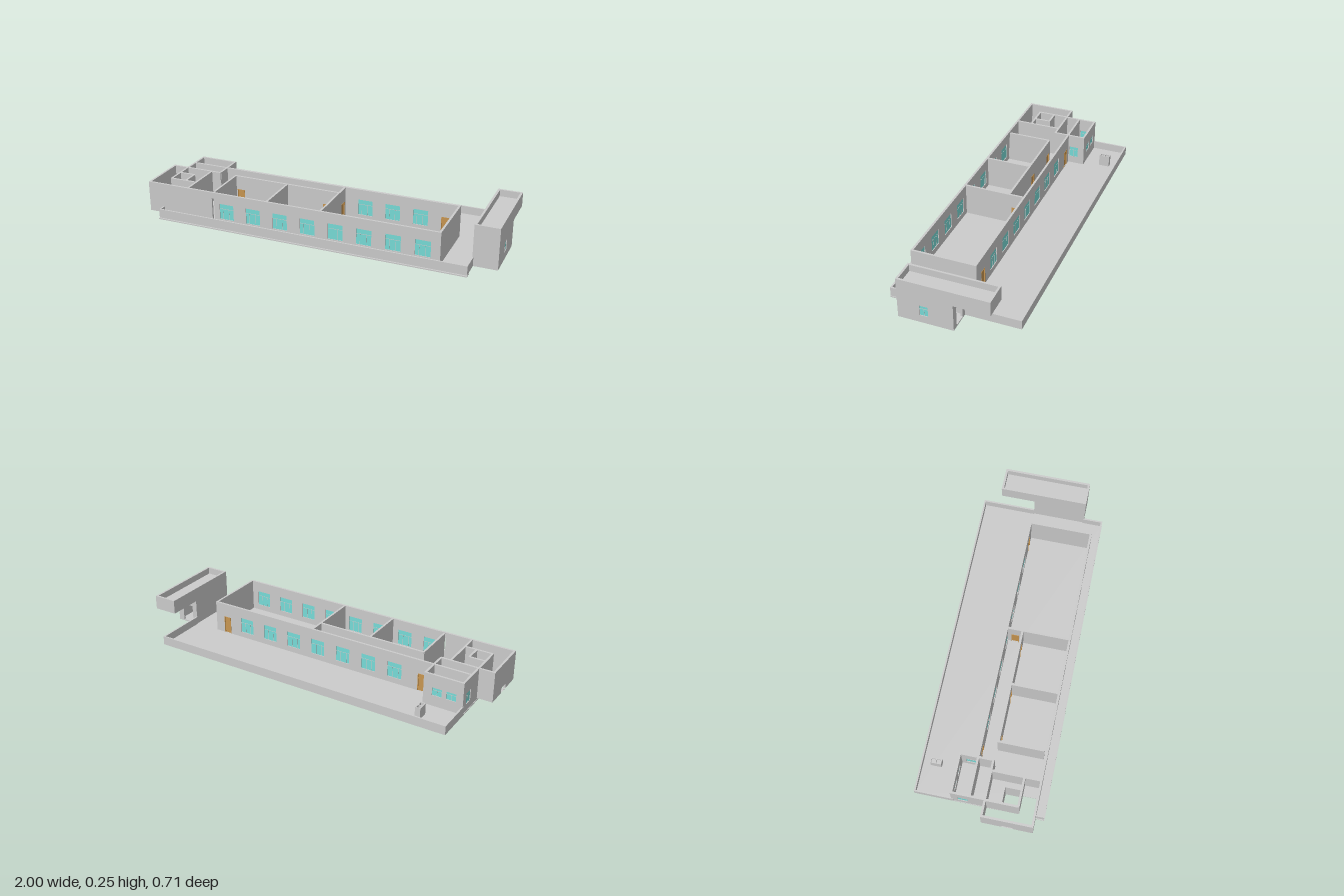
import * as THREE from 'three';

const grey = new THREE.MeshStandardMaterial({ color: 0xcccccc });
const teal = new THREE.MeshStandardMaterial({ color: 0x78dcd8 });
const wood = new THREE.MeshStandardMaterial({ color: 0xc89650 });
const T = 0.012; // wall thickness
const DECK = 0.017;
const TOP = 0.205;

// Box given by its min and max corners
function block(parent, name, x0, x1, y0, y1, z0, z1, material = grey) {
  const mesh = new THREE.Mesh(new THREE.BoxGeometry(x1 - x0, y1 - y0, z1 - z0), material);
  mesh.position.set((x0 + x1) / 2, (y0 + y1) / 2, (z0 + z1) / 2);
  mesh.name = name;
  parent.add(mesh);
  return mesh;
}

function rectangle(target, x0, x1, y0, y1) {
  target.moveTo(x0, y0);
  target.lineTo(x1, y0);
  target.lineTo(x1, y1);
  target.lineTo(x0, y1);
  target.closePath();
  return target;
}

// Wall running along x or z from a to b; openings are { c, w, y0, y1, kind }
function wall(parent, name, axis, a, b, at, y0 = DECK, y1 = TOP, openings = []) {
  const g = new THREE.Group();
  g.name = name;
  const shape = rectangle(new THREE.Shape(), a, b, y0, y1);
  for (const o of openings) {
    const l = o.c - o.w / 2, r = o.c + o.w / 2;
    shape.holes.push(rectangle(new THREE.Path(), l, r, o.y0, o.y1));
    if (o.kind === 'window') {
      block(g, 'windowGlass', l, r, o.y0, o.y1, -0.002, 0.002, teal);
      const split = o.y0 + (o.y1 - o.y0) * 0.68;
      block(g, 'windowTransom', l, r, split - 0.001, split + 0.001, -0.003, 0.003);
      for (const f of o.w > 0.07 ? [0.25, 0.65] : [0.5]) {
        const x = l + o.w * f;
        block(g, 'windowMullion', x - 0.001, x + 0.001, o.y0, split, -0.003, 0.003);
      }
    } else if (o.kind === 'door') {
      block(g, 'doorLeaf', l, r, o.y0, o.y1, -0.003, 0.003, wood);
      for (const x of [l, r - 0.004]) block(g, 'doorJamb', x, x + 0.004, o.y0, o.y1, -0.008, 0.008, wood);
      block(g, 'doorHead', l, r, o.y1 - 0.004, o.y1, -0.008, 0.008, wood);
    }
  }
  const geometry = new THREE.ExtrudeGeometry(shape, { depth: T, bevelEnabled: false });
  geometry.translate(0, 0, -T / 2);
  const panel = new THREE.Mesh(geometry, grey);
  panel.name = name + 'Panel';
  g.add(panel);
  if (axis === 'z') {
    g.rotation.y = -Math.PI / 2;
    g.position.x = at;
  } else g.position.z = at;
  parent.add(g);
}

const windowAt = (c, w = 0.085, y0 = 0.055, y1 = 0.145) => ({ c, w, y0, y1, kind: 'window' });
const doorAt = (c, w = 0.045) => ({ c, w, y0: 0.024, y1: 0.125, kind: 'door' });

function buildTerrace() {
  const g = new THREE.Group();
  g.name = 'terrace';
  // Deck with a notch at the stair shaft
  const s = new THREE.Shape();
  [[-0.915, -0.355], [0.87, -0.355], [0.87, 0.355], [-0.915, 0.355], [-0.915, 0.3],
    [-0.815, 0.3], [-0.815, 0.12], [-0.915, 0.12]].forEach(([x, z], i) => (i ? s.lineTo(x, z) : s.moveTo(x, z)));
  const geometry = new THREE.ExtrudeGeometry(s, { depth: 0.006, bevelEnabled: false });
  geometry.rotateX(Math.PI / 2);
  const deck = new THREE.Mesh(geometry, grey);
  deck.position.y = 0.023;
  deck.name = 'deck';
  g.add(deck);
  // Low parapet round the edge
  const p = 0.068, t = 0.009;
  block(g, 'frontParapet', -0.915, 0.87, DECK, p, 0.355 - t, 0.355);
  block(g, 'backParapet', -0.915, 0.87, DECK, p, -0.356, -0.356 + t);
  block(g, 'leftBackParapet', 0.87 - t, 0.87, DECK, p, -0.355, -0.055);
  block(g, 'leftFrontParapet', 0.87 - t, 0.87, DECK, p, 0.24, 0.355);
  block(g, 'rightBackParapet', -0.915, -0.915 + t, DECK, p, -0.355, -0.14);
  block(g, 'rightFrontParapet', -0.915, -0.915 + t, DECK, p, 0.305, 0.355);
  block(g, 'frontLedge', -0.92, 0.87, 0.007, 0.013, 0.313, 0.357);
  // Ribs below the deck
  const ribs = [[0.65, -1], [0.06, -1], [-0.46, -1], [0.67, 1], [0.36, 1], [0.32, 1],
    [0.21, 1], [0.17, 1], [-0.1, 1], [-0.14, 1], [-0.49, 1]];
  for (const [x, side] of ribs) block(g, 'underRib', x - 0.005, x + 0.005, 0.005, DECK, side * 0.172 - 0.117, side * 0.172 + 0.117);
  // Vent stack with two open flues
  const vent = new THREE.Group();
  vent.name = 'ventStack';
  for (const x of [-0.75, -0.725]) block(vent, 'ventSide', x, x + 0.005, 0.02, 0.088, -0.304, -0.243);
  for (const z of [-0.304, -0.276, -0.248]) block(vent, 'ventCross', -0.75, -0.72, 0.02, 0.088, z, z + 0.005);
  block(vent, 'ventFill', -0.748, -0.722, 0.02, 0.072, -0.302, -0.245);
  g.add(vent);
  return g;
}

function buildMainHall() {
  const g = new THREE.Group();
  g.name = 'mainHall';
  const front = [];
  for (let i = 0; i < 8; i++) front.push(windowAt(-0.508 + i * 0.1614));
  front.push({ c: -0.59, w: 0.015, y0: 0.03, y1: 0.17 });
  wall(g, 'frontWall', 'x', -0.915, 0.715, 0.304, DECK, TOP, front);
  const back = [doorAt(0.635), doorAt(-0.63)];
  for (let i = 0; i < 7; i++) back.push(windowAt(0.495 - i * 0.1605));
  wall(g, 'backWall', 'x', -0.91, 0.715, -0.047, DECK, TOP, back);
  wall(g, 'leftEndWall', 'z', -0.053, 0.31, 0.709);
  wall(g, 'corridorWall', 'x', -0.59, 0.05, 0.04, DECK, TOP, [doorAt(-0.555), doorAt(-0.3), doorAt(-0.02)]);
  wall(g, 'roomPartition', 'z', 0.04, 0.298, -0.265);
  wall(g, 'roomPartition', 'z', -0.045, 0.298, 0.05, DECK, TOP, [doorAt(0)]);
  wall(g, 'roomPartition', 'z', 0.035, 0.29, -0.59);
  return g;
}

function buildServiceWing() {
  const g = new THREE.Group();
  g.name = 'serviceWing';
  // Back room
  const side = [windowAt(-0.087, 0.053, 0.065, 0.13)];
  wall(g, 'backRoomWall', 'x', -0.912, -0.688, -0.145, DECK, TOP,
    [windowAt(-0.765, 0.055, 0.085, 0.13), windowAt(-0.845, 0.055, 0.085, 0.13)]);
  wall(g, 'backRoomInnerSide', 'z', -0.145, 0.035, -0.694, DECK, TOP, side);
  wall(g, 'backRoomOuterSide', 'z', -0.145, 0.035, -0.906, DECK, TOP, side);
  // Overhanging stair shaft
  wall(g, 'shaftFrontWall', 'x', -1, -0.91, 0.304, 0.03);
  wall(g, 'shaftBackWall', 'x', -1, -0.69, 0.035, 0.03);
  wall(g, 'shaftOuterWall', 'z', 0.03, 0.31, -0.994, 0.03, TOP,
    [{ c: 0.17, w: 0.06, y0: 0.031, y1: 0.06 }]);
  // Inner cells
  wall(g, 'cellWall', 'z', 0.035, 0.3, -0.75);
  wall(g, 'cellWall', 'z', 0.035, 0.215, -0.908);
  wall(g, 'cellWall', 'z', 0.12, 0.215, -0.817);
  wall(g, 'cellWall', 'x', -0.91, -0.815, 0.12);
  wall(g, 'cellWall', 'x', -0.91, -0.75, 0.213);
  return g;
}

function buildTower() {
  const g = new THREE.Group();
  g.name = 'entranceTower';
  const x0 = 0.865, x1 = 1, zf = 0.245, zb = -0.25, zm = -0.055, h = T / 2;
  const low = 0.018, mid = 0.17, top = 0.25;
  wall(g, 'towerOuterWall', 'z', zm, zf, x1 - h, low, mid, [windowAt(0.102, 0.045, 0.062, 0.12)]);
  wall(g, 'towerInnerWall', 'z', zm, zf, x0 + h, low, mid);
  wall(g, 'towerFrontWall', 'x', x0, x1, zf - h, low, mid);
  wall(g, 'towerBackWall', 'x', x0, x1, zm + h, low, mid, [{ c: 0.93, w: 0.07, y0: 0.025, y1: 0.13 }]);
  block(g, 'towerFloor', x0, x1, low, low + 0.006, zm, zf);
  // Overhanging roof tray
  wall(g, 'trayOuterRim', 'z', zb, zf, x1 - h, mid, top);
  wall(g, 'trayInnerRim', 'z', zb, zf, x0 + h, mid, top);
  wall(g, 'trayFrontRim', 'x', x0, x1, zf - h, mid, top);
  wall(g, 'trayBackRim', 'x', x0, x1, zb + h, mid, top);
  block(g, 'trayFloor', x0 + h, x1 - h, 0.2, 0.212, zb + h, zf - h);
  return g;
}

export function createModel() {
  const model = new THREE.Group();
  model.name = 'building';
  model.add(buildTerrace(), buildMainHall(), buildServiceWing(), buildTower());
  return model;
}
